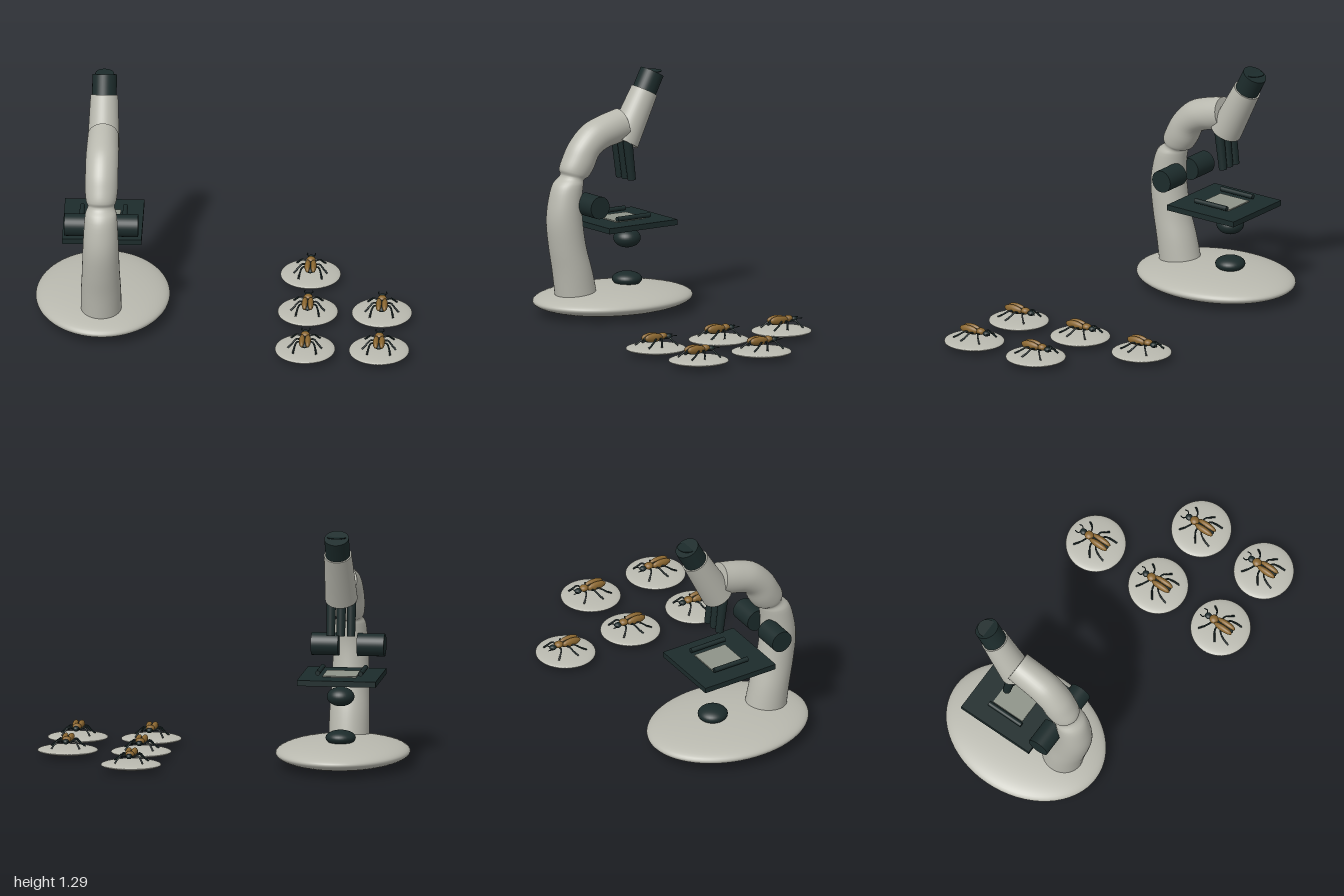
import * as THREE from 'three';

const V = (x, y, z) => new THREE.Vector3(x, y, z);
const paint = (name, color) => {
  const m = new THREE.MeshStandardMaterial({ color });
  m.name = name;
  return m;
};

export function createModel() {
  const grey = paint('warm grey enamel', 0xb9b9af);
  const dark = paint('dark green black', 0x1c2b2b);
  const gold = paint('beetle gold', 0x8b6730);
  const glass = paint('slide glass', 0x8e9388);

  const add = (parent, name, geometry, material, x = 0, y = 0, z = 0) => {
    const mesh = new THREE.Mesh(geometry, material);
    mesh.name = name;
    mesh.position.set(x, y, z);
    parent.add(mesh);
    return mesh;
  };
  const ellipsoid = (rx, ry, rz, w = 32, h = 20) => new THREE.SphereGeometry(1, w, h).scale(rx, ry, rz);

  // Straight round part between two points
  const rod = (parent, name, a, b, ra, rb, material, sides = 32) => {
    const dir = b.clone().sub(a);
    const mesh = add(parent, name, new THREE.CylinderGeometry(rb, ra, dir.length(), sides), material);
    mesh.position.copy(a).add(b).multiplyScalar(0.5);
    mesh.quaternion.setFromUnitVectors(V(0, 1, 0), dir.normalize());
    return mesh;
  };

  // Curved arm lofted through elliptical sections: [outer z, outer y, inner z, inner y, half width]
  const armGeometry = () => {
    const sections = [
      [0.265, 0.1, 0.035, 0.1, 0.108], [0.285, 0.25, 0.07, 0.25, 0.106],
      [0.31, 0.387, 0.105, 0.37, 0.1], [0.325, 0.52, 0.127, 0.5, 0.096],
      [0.315, 0.62, 0.135, 0.62, 0.091], [0.285, 0.72, 0.122, 0.72, 0.083],
      [0.237, 0.768, 0.118, 0.738, 0.07], [0.245, 0.8, 0.09, 0.748, 0.079],
      [0.215, 0.87, 0.058, 0.79, 0.087], [0.178, 0.933, 0.02, 0.86, 0.087],
      [0.09, 1.02, -0.04, 0.89, 0.087], [-0.01, 1.06, -0.1, 0.902, 0.085],
      [-0.12, 1.087, -0.16, 0.918, 0.082],
    ];
    const outer = new THREE.CatmullRomCurve3(sections.map(s => V(s[4], s[1], s[0])));
    const inner = new THREE.CatmullRomCurve3(sections.map(s => V(s[4], s[3], s[2])));
    const steps = 48, n = 36, pos = [], index = [];
    const ring = t => {
      const o = outer.getPoint(t), i = inner.getPoint(t);
      for (let k = 0; k < n; k++) {
        const a = k / n * Math.PI * 2, c = Math.cos(a) / 2;
        pos.push(o.x * Math.sin(a), (o.y + i.y) / 2 + (o.y - i.y) * c, (o.z + i.z) / 2 + (o.z - i.z) * c);
      }
    };
    for (let j = 0; j <= steps; j++) ring(j / steps);
    for (let j = 0; j < steps; j++) {
      for (let k = 0; k < n; k++) {
        const a = j * n + k, b = j * n + (k + 1) % n;
        index.push(a, b, b + n, a, b + n, a + n);
      }
    }
    // flat cap on the upper end
    const cap = pos.length / 3;
    ring(1);
    for (let k = 1; k < n - 1; k++) index.push(cap, cap + k, cap + k + 1);
    const g = new THREE.BufferGeometry();
    g.setAttribute('position', new THREE.Float32BufferAttribute(pos, 3));
    g.setIndex(index);
    g.computeVertexNormals();
    return g;
  };

  const model = new THREE.Group();
  model.name = 'microscopeAndSpecimens';

  // Microscope
  const scope = new THREE.Group();
  scope.name = 'microscope';
  scope.position.x = -0.645;
  model.add(scope);
  add(scope, 'base', ellipsoid(0.355, 0.071, 0.455, 64, 32), grey, 0, 0.074, -0.085);
  add(scope, 'arm', armGeometry(), grey);
  rod(scope, 'headTube', V(0, 0.906, -0.15), V(0, 1.166, -0.29), 0.086, 0.073, grey, 40);
  rod(scope, 'eyepiece', V(0, 1.16, -0.287), V(0, 1.262, -0.341), 0.065, 0.065, dark, 40);
  add(scope, 'eyepieceLens', new THREE.CylinderGeometry(0.05, 0.05, 0.004, 32), dark, 0, 1.266, -0.34);
  for (const x of [-0.054, 0, 0.054]) {
    rod(scope, 'objective', V(x, 0.93, -0.143), V(x, 0.708, -0.171), 0.026, 0.022, dark, 24);
  }

  // Stage with slide and clips
  add(scope, 'stage', new THREE.BoxGeometry(0.42, 0.03, 0.44), dark, 0, 0.482, -0.137);
  add(scope, 'slide', new THREE.BoxGeometry(0.18, 0.006, 0.19), glass, 0, 0.5, -0.14);
  for (const s of [-1, 1]) {
    rod(scope, 'stageClip', V(s * 0.114, 0.519, -0.243), V(s * 0.114, 0.519, -0.033), 0.013, 0.013, dark, 16);
    rod(scope, 'focusKnob', V(s * 0.05, 0.612, 0.132), V(s * 0.195, 0.612, 0.132), 0.06, 0.06, dark, 40);
  }
  add(scope, 'condenser', ellipsoid(0.073, 0.051, 0.073), dark, 0, 0.385, -0.178);
  add(scope, 'lamp', ellipsoid(0.08, 0.04, 0.08), dark, 0, 0.165, -0.178);

  // Beetle on a dish, head towards -z
  const specimen = new THREE.Group();
  specimen.name = 'specimen';
  add(specimen, 'dish', ellipsoid(0.16, 0.021, 0.16, 48, 20), grey, 0, 0.035, 0);
  add(specimen, 'abdomen', ellipsoid(0.028, 0.02, 0.056, 16, 12), dark, 0, 0.089, 0.024);
  add(specimen, 'thorax', ellipsoid(0.024, 0.018, 0.025, 16, 12), gold, 0, 0.097, -0.043);
  add(specimen, 'head', ellipsoid(0.018, 0.014, 0.02, 16, 12), dark, 0, 0.091, -0.079);
  const legs = [
    [[0.015, 0.085, -0.045], [0.045, 0.092, -0.055], [0.06, 0.075, -0.07], [0.076, 0.053, -0.09]],
    [[0.015, 0.083, -0.01], [0.045, 0.092, -0.005], [0.068, 0.072, 0.008], [0.09, 0.053, 0.025]],
    [[0.015, 0.083, 0.01], [0.042, 0.092, 0.03], [0.056, 0.072, 0.06], [0.062, 0.053, 0.092]],
  ];
  const feeler = [[0.008, 0.092, -0.09], [0.022, 0.095, -0.102], [0.02, 0.094, -0.12]];
  const limb = (name, points, s, r) => {
    const curve = new THREE.CatmullRomCurve3(points.map(p => V(p[0] * s, p[1], p[2])));
    add(specimen, name, new THREE.TubeGeometry(curve, 10, r, 6), dark);
  };
  for (const s of [-1, 1]) {
    add(specimen, 'wingCase', ellipsoid(0.0165, 0.023, 0.057, 16, 12), gold, s * 0.0155, 0.097, 0.026);
    for (const leg of legs) limb('leg', leg, s, 0.0048);
    limb('antenna', feeler, s, 0.003);
  }

  // Five specimens in two columns
  for (const [x, z] of [[0.443, -0.41], [0.443, -0.004], [0.443, 0.402], [0.835, -0.004], [0.835, 0.402]]) {
    const copy = specimen.clone();
    copy.position.set(x, 0, z);
    model.add(copy);
  }
  return model;
}
